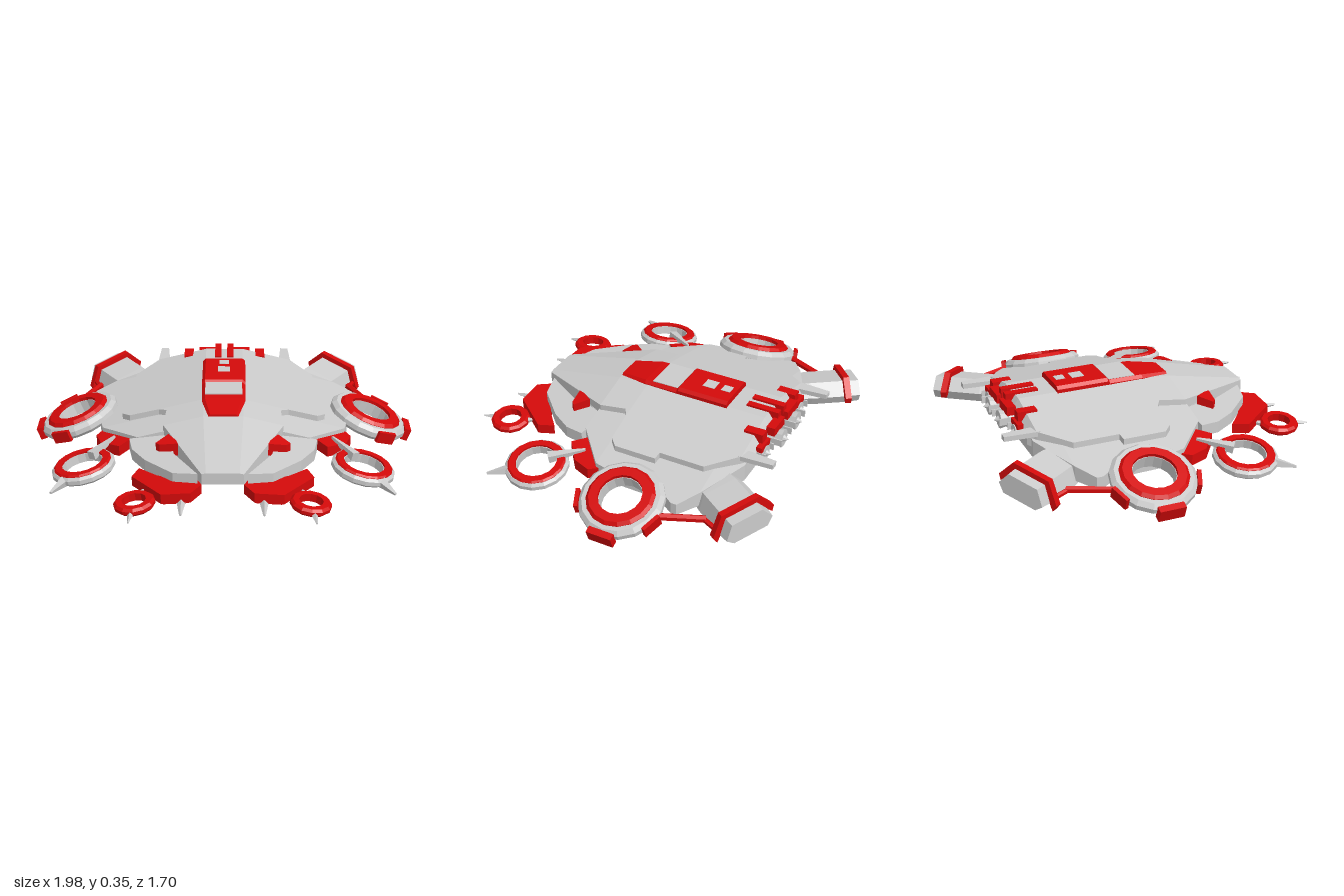
import * as THREE from 'three';

const grey = new THREE.MeshStandardMaterial({ color: 0xcccccc, flatShading: true, side: THREE.DoubleSide });
const red = new THREE.MeshStandardMaterial({ color: 0xd40a0a, flatShading: true, side: THREE.DoubleSide });

function add(parent, name, geometry, material, x = 0, y = 0, z = 0) {
  const mesh = new THREE.Mesh(geometry, material);
  mesh.name = name;
  mesh.position.set(x, y, z);
  parent.add(mesh);
  return mesh;
}

// Skin through closed sections, ordered front to back, each counter-clockwise from the front
function loft(sections) {
  const pos = [];
  const tri = (...p) => p.forEach(v => pos.push(...v));
  const n = sections[0].length;
  for (let s = 0; s < sections.length - 1; s++) {
    const a = sections[s], b = sections[s + 1];
    for (let i = 0; i < n; i++) {
      const j = (i + 1) % n;
      tri(a[i], b[i], b[j]);
      tri(a[i], b[j], a[j]);
    }
  }
  [sections[0], sections[sections.length - 1]].forEach((sec, k) => {
    const c = [0, 1, 2].map(d => sec.reduce((t, p) => t + p[d], 0) / n);
    for (let i = 0; i < n; i++) {
      const j = (i + 1) % n;
      if (k) tri(c, sec[j], sec[i]); else tri(c, sec[i], sec[j]);
    }
  });
  const g = new THREE.BufferGeometry();
  g.setAttribute('position', new THREE.Float32BufferAttribute(pos, 3));
  g.computeVertexNormals();
  return g;
}

// Symmetric hull section: flat ridge, sloping roof, upright edge, shallow underside
function hullSection([z, flat, half, ridge, edgeLow, midLow]) {
  const edge = ridge - 0.25 * (half - flat);
  const right = [[half, edgeLow, z], [half, edge, z], [flat, ridge, z]];
  return [[0, midLow, z], ...right, ...right.map(([x, y]) => [-x, y, z]).reverse()];
}

// Flat plate from [x, z] corners, sloping sideways about its middle
function plate(points, y0, y1, slopeX = 0, slopeZ = 0) {
  const shape = new THREE.Shape(points.map(([x, z]) => new THREE.Vector2(x, -z)));
  const g = new THREE.ExtrudeGeometry(shape, { depth: y1 - y0, bevelEnabled: false }).rotateX(-Math.PI / 2);
  g.computeBoundingBox();
  const c = g.boundingBox.getCenter(new THREE.Vector3());
  const p = g.attributes.position;
  for (let i = 0; i < p.count; i++) {
    p.setY(i, p.getY(i) + y0 + slopeX * (p.getX(i) - c.x) + slopeZ * (p.getZ(i) - c.z));
  }
  g.computeVertexNormals();
  return g;
}

function ringGeometry(inner, outer, low, high, bevel, sides) {
  const profile = [[inner, low], [outer - bevel, low], [outer, low + bevel], [outer, high - bevel],
    [outer - bevel, high], [inner, high], [inner, low]];
  return new THREE.LatheGeometry(profile.map(([r, y]) => new THREE.Vector2(r, y)), sides);
}

function group(parent, name, x, y, z, tilt = 0, yaw = 0) {
  const g = new THREE.Group();
  g.name = name;
  g.position.set(x, y, z);
  g.rotation.set(0, yaw, tilt);
  parent.add(g);
  return g;
}

// Tapered four-sided blade between two points
function spike(parent, name, from, to, radius) {
  const a = new THREE.Vector3(...from), b = new THREE.Vector3(...to);
  const dir = b.clone().sub(a);
  const g = new THREE.CylinderGeometry(radius * 0.25, radius, dir.length(), 4);
  const m = add(parent, name, g, grey);
  m.position.copy(a).addScaledVector(dir, 0.5);
  m.quaternion.setFromUnitVectors(new THREE.Vector3(0, 1, 0), dir.normalize());
}

function buildSide() {
  const side = new THREE.Group();

  // Front cheek, its red marker and the red front pod
  add(side, 'frontCheek', plate([[0.27, 0.2], [0.47, 0.22], [0.45, 0.32], [0.38, 0.43], [0.24, 0.57], [0.12, 0.6],
    [0.15, 0.55], [0.24, 0.4]], 0.125, 0.185, -0.12, -0.08), grey);
  add(side, 'cheekRoot', plate([[0.12, 0.2], [0.3, 0.2], [0.24, 0.36], [0.14, 0.38]], 0.12, 0.2), grey);
  add(side, 'cheekMarker', plate([[0.27, 0.29], [0.33, 0.35], [0.31, 0.37], [0.22, 0.38], [0.23, 0.35]],
    0.17, 0.235, -0.15, -0.15), red);
  add(side, 'frontPod', plate([[0.41, 0.42], [0.44, 0.5], [0.29, 0.69], [0.15, 0.69], [0.1, 0.61], [0.11, 0.57],
    [0.22, 0.55], [0.32, 0.5]], 0.08, 0.13, -0.06), red);
  add(side, 'frontPodRim', plate([[0.42, 0.49], [0.28, 0.67], [0.16, 0.67], [0.13, 0.61], [0.24, 0.59]],
    0.065, 0.085, -0.06), red);
  spike(side, 'podSpike', [0.195, 0.085, 0.66], [0.195, 0.075, 0.785], 0.025);

  // Small front ring
  const small = group(side, 'smallRing', 0.415, 0.08, 0.685, -0.12);
  add(small, 'smallRingBody', ringGeometry(0.058, 0.1, -0.02, 0.02, 0.012, 12), red);
  spike(side, 'smallRingSpike', [0.425, 0.075, 0.76], [0.435, 0.065, 0.84], 0.018);
  spike(side, 'smallRingMount', [0.4, 0.08, 0.62], [0.37, 0.09, 0.56], 0.02);

  // Middle ring with its red arm and blades
  add(side, 'middleArm', plate([[0.46, 0.18], [0.52, 0.25], [0.62, 0.17], [0.65, 0.08], [0.62, 0.03], [0.53, 0.07]],
    0.09, 0.145, -0.2), red);
  const middle = group(side, 'middleRing', 0.69, 0.088, 0.345, -0.2);
  add(middle, 'middleRingBody', ringGeometry(0.1, 0.16, -0.025, 0.02, 0.012, 16), grey);
  add(middle, 'middleRingTrim', ringGeometry(0.104, 0.145, 0.01, 0.03, 0.008, 16), red);
  spike(side, 'middleInnerBlade', [0.655, 0.125, 0.3], [0.55, 0.155, 0.15], 0.03);
  spike(side, 'middleOuterBlade', [0.77, 0.07, 0.46], [0.83, 0.055, 0.55], 0.028);

  // Large side ring with red trim and clips
  const large = group(side, 'largeRing', 0.765, 0.118, -0.175, -0.35);
  add(large, 'largeRingBody', ringGeometry(0.105, 0.21, -0.04, 0.025, 0.02, 16), grey);
  add(large, 'largeRingTrim', ringGeometry(0.108, 0.168, 0.01, 0.042, 0.015, 16), red);
  add(large, 'outerClip', new THREE.BoxGeometry(0.035, 0.065, 0.13), red, 0.212, -0.01, 0);
  for (const a of [-1.2, 1.2]) {
    const clip = add(large, 'sideClip', new THREE.BoxGeometry(0.02, 0.06, 0.1), red,
      0.213 * Math.cos(a), -0.005, 0.213 * Math.sin(a));
    clip.rotation.y = -a;
  }

  // Red rod from large ring to rear engine
  const rod = new THREE.LineCurve3(new THREE.Vector3(0.785, 0.1, -0.36), new THREE.Vector3(0.69, 0.1, -0.58));
  add(side, 'rearRod', new THREE.TubeGeometry(rod, 1, 0.018, 6), red);
  const rod2 = new THREE.LineCurve3(new THREE.Vector3(0.69, 0.1, -0.56), new THREE.Vector3(0.72, 0.09, -0.64));
  add(side, 'rearRodTip', new THREE.TubeGeometry(rod2, 1, 0.013, 6), red);

  // Angled rear engine with its red clamp
  const engine = group(side, 'rearEngine', 0.575, 0.118, -0.66, -0.22, -0.61);
  const engineSection = (z, k) => [[0.13, -0.02], [0.085, 0.06], [-0.085, 0.06], [-0.13, -0.01], [-0.095, -0.055],
    [0.095, -0.055]].map(([x, y]) => [x * k, y * k, z]);
  add(engine, 'engineHousing', loft([engineSection(0.22, 0.9), engineSection(0.1, 1), engineSection(-0.08, 1),
    engineSection(-0.155, 0.95)]), grey);
  const band = [[0.15, -0.055], [0.165, -0.02], [0.1, 0.085], [-0.1, 0.085], [-0.165, -0.01], [-0.15, -0.04],
    [-0.125, -0.01], [-0.08, 0.055], [0.08, 0.055], [0.125, -0.02]];
  add(engine, 'engineClamp', new THREE.ExtrudeGeometry(new THREE.Shape(band.map(p => new THREE.Vector2(...p))),
    { depth: 0.032, bevelEnabled: false }), red, 0, 0, -0.1);

  // Rear thrusters with red brackets and thin vanes
  for (const [x, y, r, back] of [[0.085, 0.215, 0.047, -0.7], [0.21, 0.195, 0.04, -0.665]]) {
    const t = group(side, 'thruster', x, y, back);
    add(t, 'thrusterBell', new THREE.CylinderGeometry(r, r * 0.75, 0.06, 10).rotateX(-Math.PI / 2), grey, 0, 0, 0.03);
    add(t, 'thrusterCollar', new THREE.CylinderGeometry(r * 1.1, r * 1.1, 0.06, 10).rotateX(Math.PI / 2), grey, 0, 0, 0.07);
    add(t, 'thrusterCone', new THREE.ConeGeometry(r * 0.5, 0.03, 8).rotateX(-Math.PI / 2), grey, 0, 0, -0.01);
    for (const s of [-1, 1]) {
      add(t, 'thrusterVane', new THREE.BoxGeometry(0.007, 0.035, 0.09), grey, s * r * 1.25, 0.01, 0.03);
    }
  }
  add(side, 'innerBracketRail', new THREE.BoxGeometry(0.035, 0.06, 0.17), red, 0.033, 0.295, -0.565);
  add(side, 'innerBracketCap', new THREE.BoxGeometry(0.12, 0.045, 0.045), red, 0.08, 0.272, -0.65);
  add(side, 'outerBracket', new THREE.BoxGeometry(0.05, 0.07, 0.1), red, 0.195, 0.262, -0.595);
  add(side, 'outerBracketCap', new THREE.BoxGeometry(0.1, 0.03, 0.03), red, 0.21, 0.235, -0.645);
  add(side, 'rearFin', plate([[0.3, -0.58], [0.315, -0.76], [0.355, -0.76], [0.365, -0.58]], 0.225, 0.25), grey);
  return side;
}

export function createModel() {
  const model = new THREE.Group();
  model.name = 'hovercraft';

  // Broad lower hull: z, ridge half-width, half-width, ridge y, edge low y, middle low y
  add(model, 'lowerHull', loft([
    [0.22, 0.1, 0.43, 0.27, 0.11, 0.11], [0.05, 0.1, 0.62, 0.285, 0.09, 0.1], [-0.05, 0.1, 0.64, 0.285, 0.085, 0.1],
    [-0.3, 0.1, 0.64, 0.285, 0.08, 0.1], [-0.4, 0.1, 0.7, 0.285, 0.075, 0.1], [-0.43, 0.1, 0.7, 0.285, 0.075, 0.1],
    [-0.5, 0.1, 0.6, 0.285, 0.085, 0.105], [-0.62, 0.1, 0.36, 0.27, 0.115, 0.12],
  ].map(hullSection)), grey);

  // Raised upper deck with a notched outline running into the nose
  add(model, 'upperDeck', loft([
    [0.63, 0.08, 0.1, 0.21, 0.15, 0.15], [0.21, 0.1, 0.3, 0.3, 0.15, 0.12], [0.07, 0.1, 0.29, 0.313, 0.16, 0.15],
    [0.045, 0.1, 0.33, 0.315, 0.16, 0.15], [0.04, 0.1, 0.48, 0.315, 0.16, 0.15], [0, 0.1, 0.52, 0.315, 0.16, 0.15],
    [-0.22, 0.1, 0.52, 0.315, 0.16, 0.15], [-0.225, 0.1, 0.48, 0.315, 0.16, 0.15],
    [-0.46, 0.1, 0.48, 0.315, 0.16, 0.15], [-0.6, 0.1, 0.36, 0.315, 0.16, 0.15], [-0.635, 0.1, 0.32, 0.265, 0.17, 0.16],
  ].map(hullSection)), grey);

  // Red spine canopy with grey window and hatches
  const canopySection = ([z, w, y]) => [[w, y - 0.06, z], [w, y - 0.015, z], [w - 0.015, y, z],
    [0.015 - w, y, z], [-w, y - 0.015, z], [-w, y - 0.06, z]];
  add(model, 'canopy', loft([[0.21, 0.08, 0.31], [0.06, 0.11, 0.33], [-0.12, 0.113, 0.333], [-0.13, 0.113, 0.345],
    [-0.4, 0.113, 0.345]].map(canopySection)), red);
  add(model, 'canopyWindow', new THREE.BoxGeometry(0.19, 0.02, 0.14), grey, 0, 0.325, -0.05);
  add(model, 'rearHatch', new THREE.BoxGeometry(0.05, 0.01, 0.05), grey, 0, 0.342, -0.35);
  add(model, 'frontHatch', new THREE.BoxGeometry(0.065, 0.01, 0.065), grey, 0, 0.342, -0.26);

  // Everything off the centreline is mirrored
  const left = buildSide();
  left.name = 'leftSide';
  const right = buildSide();
  right.name = 'rightSide';
  right.scale.x = -1;
  model.add(left, right);
  return model;
}
